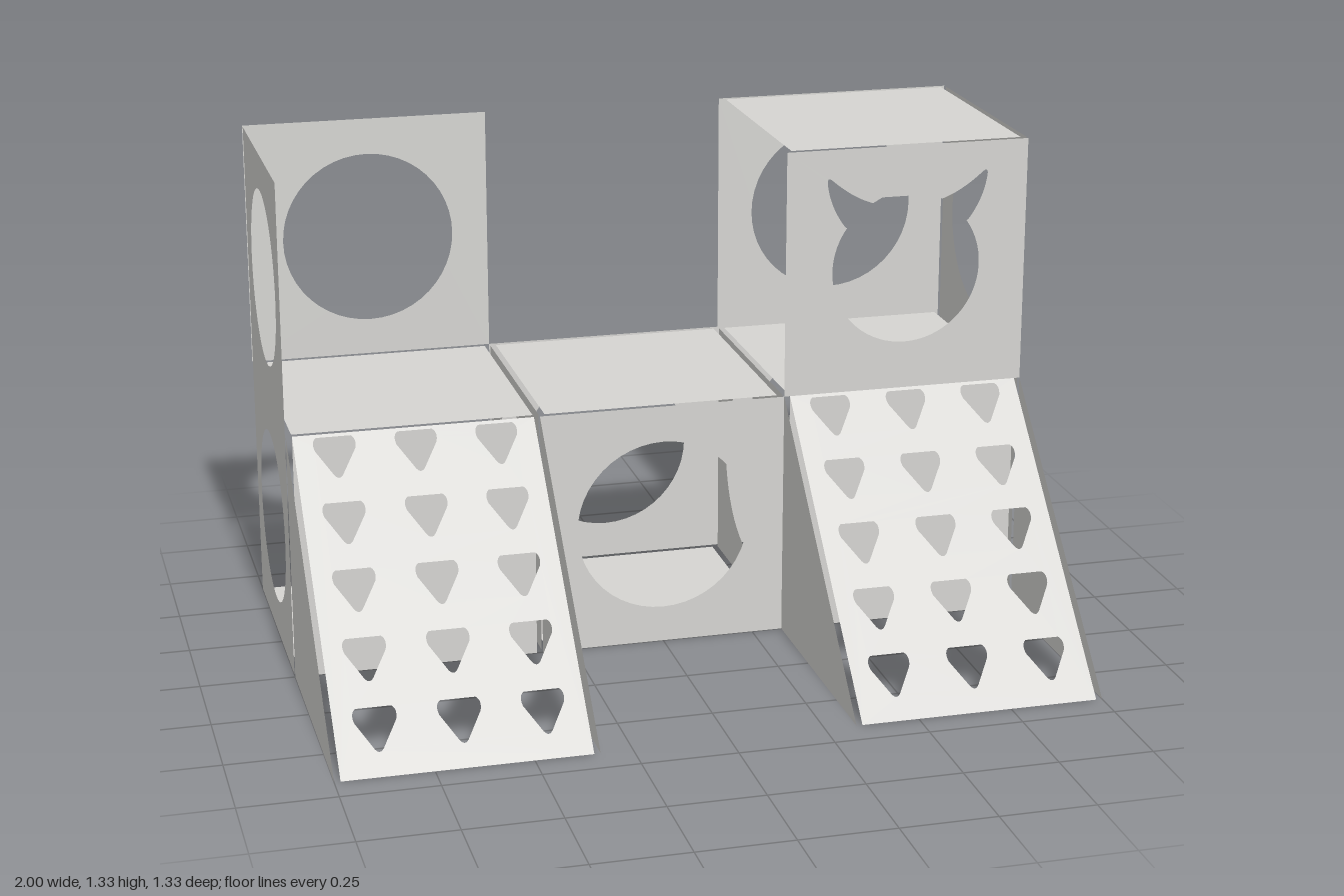
import * as THREE from 'three';

const U = 2 / 3;      // size of one cube cell
const GAP = 0.016;    // clearance where panels meet
const HOLE = 0.235;   // round opening radius

// Rectangle outline centred on x, standing on y = 0
function rect(w, h) {
  const s = new THREE.Shape();
  s.moveTo(-w / 2, 0);
  s.lineTo(w / 2, 0);
  s.lineTo(w / 2, h);
  s.lineTo(-w / 2, h);
  s.closePath();
  return s;
}

function roundHole(y) {
  const p = new THREE.Path();
  p.absarc(0, y, HOLE, 0, Math.PI * 2, true);
  return p;
}

// Head-shaped opening with two pointed ears
function earedHole() {
  const p = new THREE.Path();
  const cy = U / 2, a = Math.atan2(0.123, 0.172);
  p.moveTo(-0.172, cy + 0.123);
  p.absarc(0, cy, 0.205, Math.PI - a, Math.PI * 2 + a, false);
  p.lineTo(0.172, cy + 0.123);
  p.quadraticCurveTo(0.215, cy + 0.18, 0.222, cy + 0.245);
  p.quadraticCurveTo(0.222, cy + 0.262, 0.208, cy + 0.25);
  p.quadraticCurveTo(0.15, cy + 0.2, 0.096, cy + 0.183);
  p.lineTo(0.07, cy + 0.197);
  p.lineTo(-0.07, cy + 0.197);
  p.lineTo(-0.096, cy + 0.183);
  p.quadraticCurveTo(-0.15, cy + 0.2, -0.208, cy + 0.25);
  p.quadraticCurveTo(-0.222, cy + 0.262, -0.222, cy + 0.245);
  p.quadraticCurveTo(-0.215, cy + 0.18, -0.172, cy + 0.123);
  return p;
}

// Rounded triangular foothold, top edge at y
function foothold(x, y) {
  const p = new THREE.Path();
  p.moveTo(x - 0.045, y);
  p.lineTo(x + 0.045, y);
  p.quadraticCurveTo(x + 0.06, y - 0.008, x + 0.052, y - 0.027);
  p.lineTo(x + 0.012, y - 0.077);
  p.quadraticCurveTo(x, y - 0.09, x - 0.012, y - 0.077);
  p.lineTo(x - 0.052, y - 0.027);
  p.quadraticCurveTo(x - 0.06, y - 0.008, x - 0.045, y);
  return p;
}

export function createModel() {
  const group = new THREE.Group();
  const panelGrey = new THREE.MeshStandardMaterial({ color: 0xd6d5d2, side: THREE.DoubleSide });
  panelGrey.name = 'panelGrey';

  function add(name, shape, x, y, z, holes = []) {
    shape.holes.push(...holes);
    const mesh = new THREE.Mesh(new THREE.ShapeGeometry(shape, 24), panelGrey);
    mesh.name = name;
    mesh.position.set(x, y, z);
    group.add(mesh);
    return mesh;
  }

  const inner = U - 2 * GAP;

  // Horizontal sheets: floors, platforms and one roof
  function deck(name, x, y) {
    add(name, rect(inner, inner), x, y, -GAP).rotation.x = -Math.PI / 2;
  }
  for (const x of [-U, 0, U]) {
    deck('floor', x, 0);
    deck('platform', x, U);
  }
  deck('roof', U, 2 * U);

  // Walls across the depth: tall outer sides and low partitions
  for (const s of [-1, 1]) {
    add('sideWall', rect(inner, 2 * U), s, 0, -U / 2,
      [roundHole(U / 2), roundHole(U * 1.5)]).rotation.y = Math.PI / 2;
    add('partition', rect(inner, U), s * U / 2, 0, -U / 2,
      [roundHole(U / 2)]).rotation.y = Math.PI / 2;
  }

  // Back walls
  for (const [x, y] of [[0, 0], [U, 0], [U, U], [-U, U]]) {
    add('backWall', rect(U, U), x, y, -U, [roundHole(U / 2)]);
  }

  // Front walls
  add('frontWall', rect(U, U), 0, 0, 0, [roundHole(U / 2)]);
  add('earedFrontWall', rect(U, U), U, U, 0, [earedHole()]);

  // Climbing ramps
  for (const x of [-U, U]) {
    const holes = [];
    for (let row = 0; row < 5; row++) {
      for (let col = -1; col <= 1; col++) holes.push(foothold(col * 0.212, 0.66 - row * 0.1325));
    }
    const slope = add('rampSlope', rect(inner, U), x, 0, 0, holes);
    const pos = slope.geometry.attributes.position;
    for (let i = 0; i < pos.count; i++) pos.setZ(i, U - pos.getY(i));
    slope.geometry.computeVertexNormals();

    add('rampBack', rect(inner, U), x, 0, 0);

    for (const s of [-1, 1]) {
      const tri = new THREE.Shape();
      tri.moveTo(0, 0);
      tri.lineTo(0, U);
      tri.lineTo(-U, 0);
      tri.closePath();
      add('rampSide', tri, x + s * U / 2, 0, 0).rotation.y = Math.PI / 2;
    }
  }

  return group;
}
